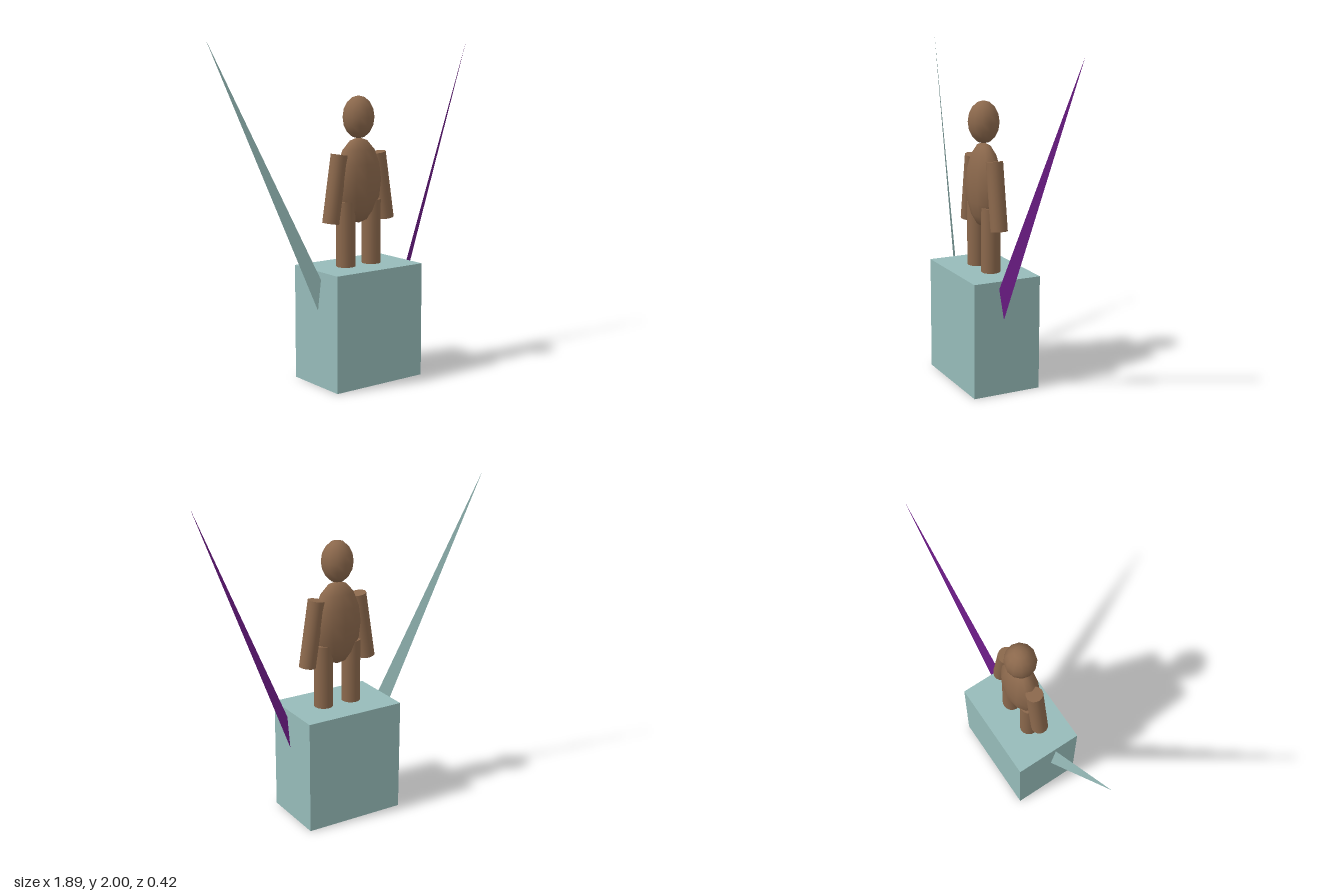
import * as THREE from 'three';

export function createModel() {
  const model = new THREE.Group();
  const teal = new THREE.MeshStandardMaterial({ color: 0x96bbb9, side: THREE.DoubleSide });
  teal.name = 'pale teal';
  const brown = new THREE.MeshStandardMaterial({ color: 0x8b684c });
  brown.name = 'brown';
  const purple = new THREE.MeshStandardMaterial({ color: 0x6f1d8a, side: THREE.DoubleSide });
  purple.name = 'purple';

  const add = (name, geometry, material) => {
    const mesh = new THREE.Mesh(geometry, material);
    mesh.name = name;
    model.add(mesh);
    return mesh;
  };
  const ellipsoid = (name, y, rx, ry, rz) => {
    const mesh = add(name, new THREE.SphereGeometry(1, 12, 8), brown);
    mesh.scale.set(rx, ry, rz);
    mesh.position.y = y;
  };
  // Cylinder running between two points
  const limb = (name, from, to, radius) => {
    const axis = new THREE.Vector3().subVectors(to, from);
    const mesh = add(name, new THREE.CylinderGeometry(radius, radius, axis.length(), 16), brown);
    mesh.position.addVectors(from, to).multiplyScalar(0.5);
    mesh.quaternion.setFromUnitVectors(new THREE.Vector3(0, 1, 0), axis.normalize());
  };

  // Plinth
  add('plinth', new THREE.BoxGeometry(0.626, 0.685, 0.42), teal).position.y = 0.3425;

  // Figure
  ellipsoid('head', 1.558, 0.095, 0.125, 0.092);
  ellipsoid('torso', 1.188, 0.153, 0.253, 0.092);

  for (const [side, s] of [['left', 1], ['right', -1]]) {
    limb(side + 'Leg', new THREE.Vector3(s * 0.095, 0.68, 0), new THREE.Vector3(s * 0.095, 1.07, 0), 0.057);
    limb(side + 'Arm', new THREE.Vector3(s * 0.204, 0.949, 0), new THREE.Vector3(s * 0.141, 1.346, 0), 0.05);

    // Flat tapering blade, its root sunk into the plinth
    const tip = new THREE.Vector3(s * 0.945, 2, -0.105);
    const roots = [[0.64, 0.053], [0.452, 0.022]].map(([y, z]) =>
      new THREE.Vector3(s * 0.313, y, z).sub(tip).multiplyScalar(1.1).add(tip));
    const corners = s > 0 ? [tip, roots[0], roots[1]] : [tip, roots[1], roots[0]];
    const blade = new THREE.BufferGeometry().setFromPoints(corners);
    blade.computeVertexNormals();
    add(side + 'Blade', blade, s > 0 ? purple : teal);
  }
  return model;
}
